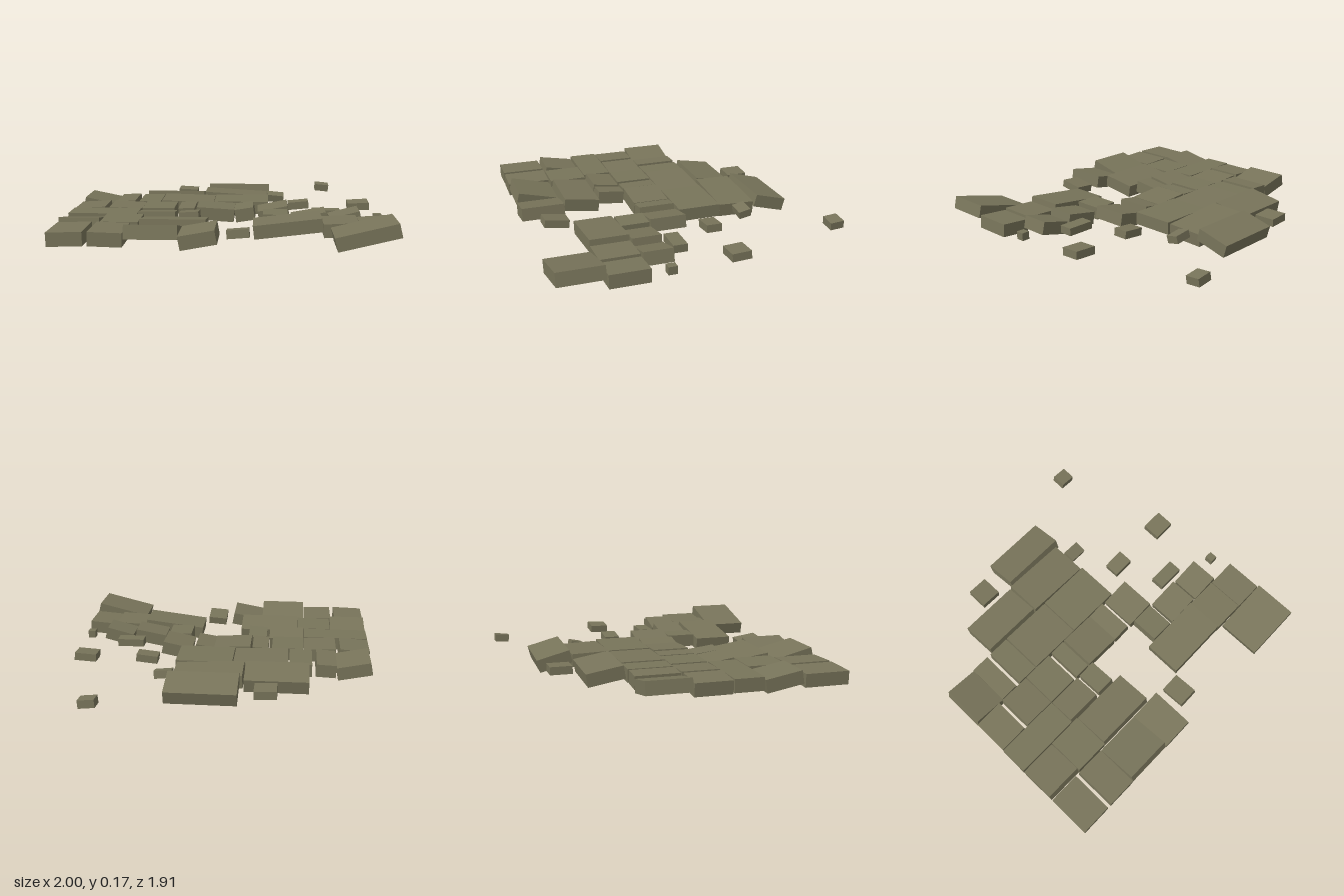
import * as THREE from 'three';

// An open-bottomed slab filling a footprint, tilted by pitch (front up) and roll (right up)
function slab(name, [x0, x1, z0, z1, pitch = 0, roll = 0], thick, midY, material) {
  const sp = Math.abs(Math.sin(pitch)), sr = Math.abs(Math.sin(roll));
  const w = (x1 - x0 - thick * sr) / Math.cos(roll);
  const d = (z1 - z0 - thick * sp) / Math.cos(pitch);
  const geometry = new THREE.BoxGeometry(w, thick, d);
  // drop the underside (fourth face of the box)
  const index = Array.from(geometry.index.array);
  index.splice(18, 6);
  geometry.setIndex(index);
  geometry.clearGroups();
  const mesh = new THREE.Mesh(geometry, material);
  mesh.name = name;
  mesh.rotation.set(-pitch, 0, roll);
  const half = (thick * Math.cos(pitch) * Math.cos(roll) + d * sp + w * sr) / 2;
  mesh.position.set((x0 + x1) / 2, Math.max(midY, half), (z0 + z1) / 2);
  return mesh;
}

export function createModel() {
  const group = new THREE.Group();
  group.name = 'brokenPaving';
  const stone = new THREE.MeshStandardMaterial({ color: 0x78745a, side: THREE.DoubleSide });
  stone.name = 'olive stone';

  // Rows from back to front: z range, then stones as [x0, x1, pitch, roll]
  const rows = [
    { z: [-0.775, -0.545], stones: [[-0.17, 0.27, 0.26]] },
    { z: [-0.55, -0.305], stones: [[-0.595, -0.195, 0.17], [-0.19, 0.25, 0.03, -0.06]] },
    { z: [-0.3, -0.02], stones: [
      [-1, -0.765, 0, -0.2], [-0.77, -0.64, 0, 0.05], [-0.615, -0.47],
      [-0.465, -0.11, 0, -0.03], [-0.105, 0.26]] },
    { z: [-0.015, 0.22], stones: [
      [-1, -0.8, 0, 0.06], [-0.78, -0.565, 0, -0.05], [-0.56, -0.35], [-0.325, -0.215, 0, 0.04],
      [-0.21, 0.04, 0, -0.06], [0.04, 0.175, 0, 0.16], [0.19, 0.4, 0, 0.2]] },
    { z: [0.225, 0.41], stones: [
      [-1, -0.565], [-0.56, -0.325, 0.15], [-0.305, -0.175, 0.12, 0.06],
      [0.225, 0.38], [0.405, 0.63, 0, 0.18], [0.64, 0.845, 0, 0.25]] },
    { z: [0.415, 0.66], stones: [
      [-1, -0.755, 0.18], [-0.75, -0.52], [-0.515, -0.115, 0.14],
      [0.165, 0.585, 0, 0.12], [0.585, 0.8, 0, 0.05], [0.805, 1, 0, 0.08]] },
    { z: [0.67, 0.95], stones: [
      [-1, -0.79, 0, 0.03], [-0.765, -0.565, 0, -0.03], [-0.56, -0.255, 0.24],
      [-0.255, -0.03, 0, 0.18], [0.625, 1, 0, 0.24]] },
  ];
  rows.forEach(({ z, stones }, i) => {
    const row = new THREE.Group();
    row.name = `pavingRow${i + 1}`;
    stones.forEach(([x0, x1, pitch, roll], j) =>
      row.add(slab(`pavingStone${j + 1}`, [x0, x1, ...z, pitch, roll], 0.083, 0.06, stone)));
    group.add(row);
  });

  // Loose fragments: x range, z range, pitch, roll
  const fragments = [
    [0.63, 0.735, -0.955, -0.86, -0.08, -0.1],
    [-0.405, -0.265, -0.73, -0.59, 0, -0.05],
    [0.255, 0.375, -0.48, -0.39, -0.2, -0.1],
    [0.395, 0.54, -0.2, -0.1, 0, 0.1],
    [0.805, 0.95, -0.215, -0.09, -0.05, 0.06],
    [0.545, 0.725, 0.1, 0.19],
    [0.925, 0.975, 0.255, 0.31],
    [0.015, 0.15, 0.68, 0.845, 0.15, 0.08],
  ];
  fragments.forEach((f, i) => group.add(slab(`looseFragment${i + 1}`, f, 0.05, 0.063, stone)));
  return group;
}
